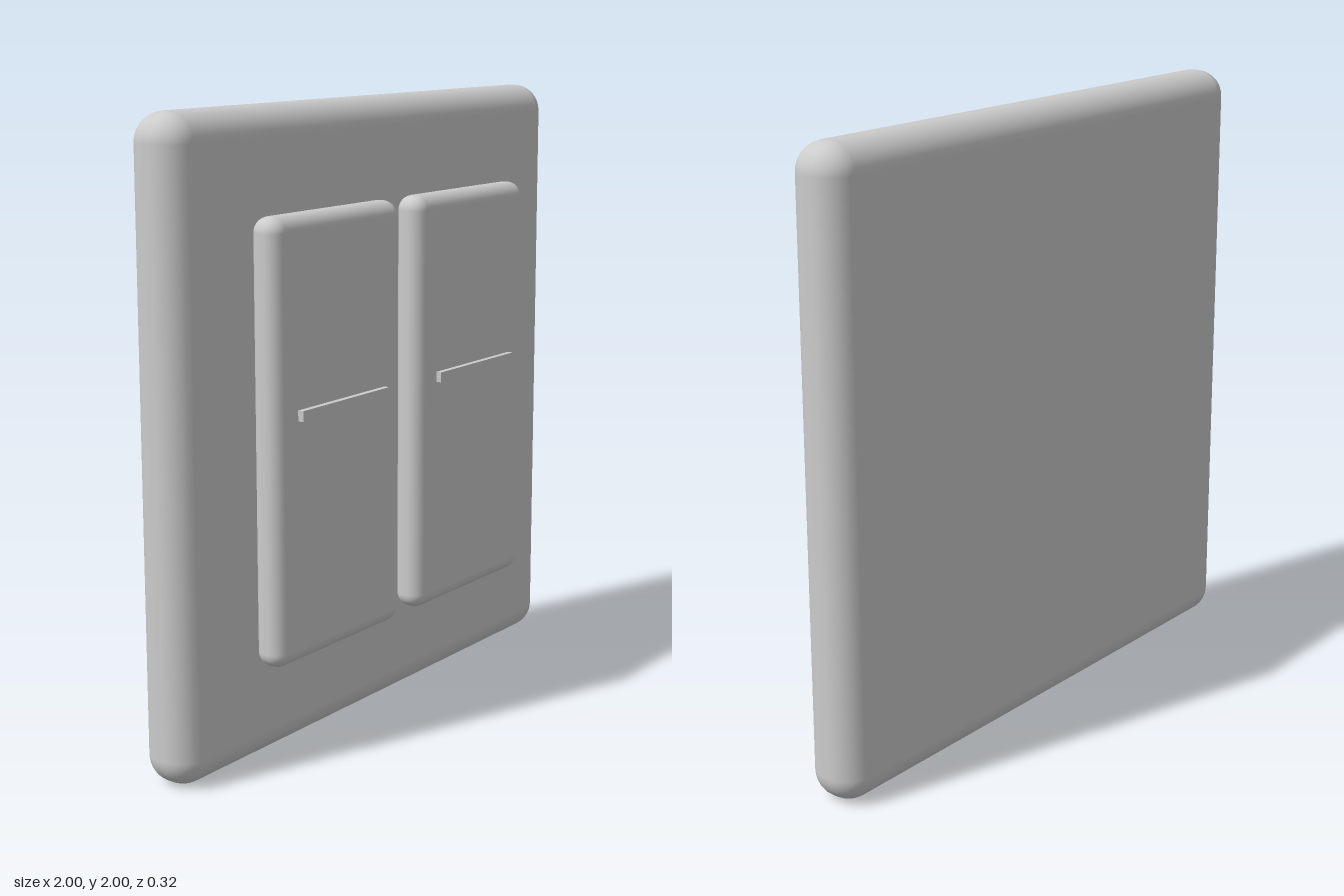
import * as THREE from 'three';
import { RoundedBoxGeometry } from 'three/addons/geometries/RoundedBoxGeometry.js';

export function createModel() {
  const group = new THREE.Group();
  const material = new THREE.MeshStandardMaterial({ color: 0xcccccc });

  const add = (name, geometry, x, y, z) => {
    const mesh = new THREE.Mesh(geometry, material);
    mesh.name = name;
    mesh.position.set(x, y, z);
    group.add(mesh);
  };

  // Wall plate with soft, nearly fully rounded edges
  add('wallPlate', new RoundedBoxGeometry(2, 2, 0.196, 4, 0.09), 0, 1, -0.062);

  // Two rocker switches, each with a thin raised indicator bar
  const rocker = new RoundedBoxGeometry(0.64, 1.372, 0.106, 4, 0.048);
  const bar = new THREE.BoxGeometry(0.44, 0.033, 0.03);
  for (const [side, s] of [['left', 1], ['right', -1]]) {
    add(`${side}Rocker`, rocker, s * 0.366, 1.002, 0.087);
    add(`${side}IndicatorBar`, bar, s * 0.366, 1.093, 0.144);
  }

  return group;
}
